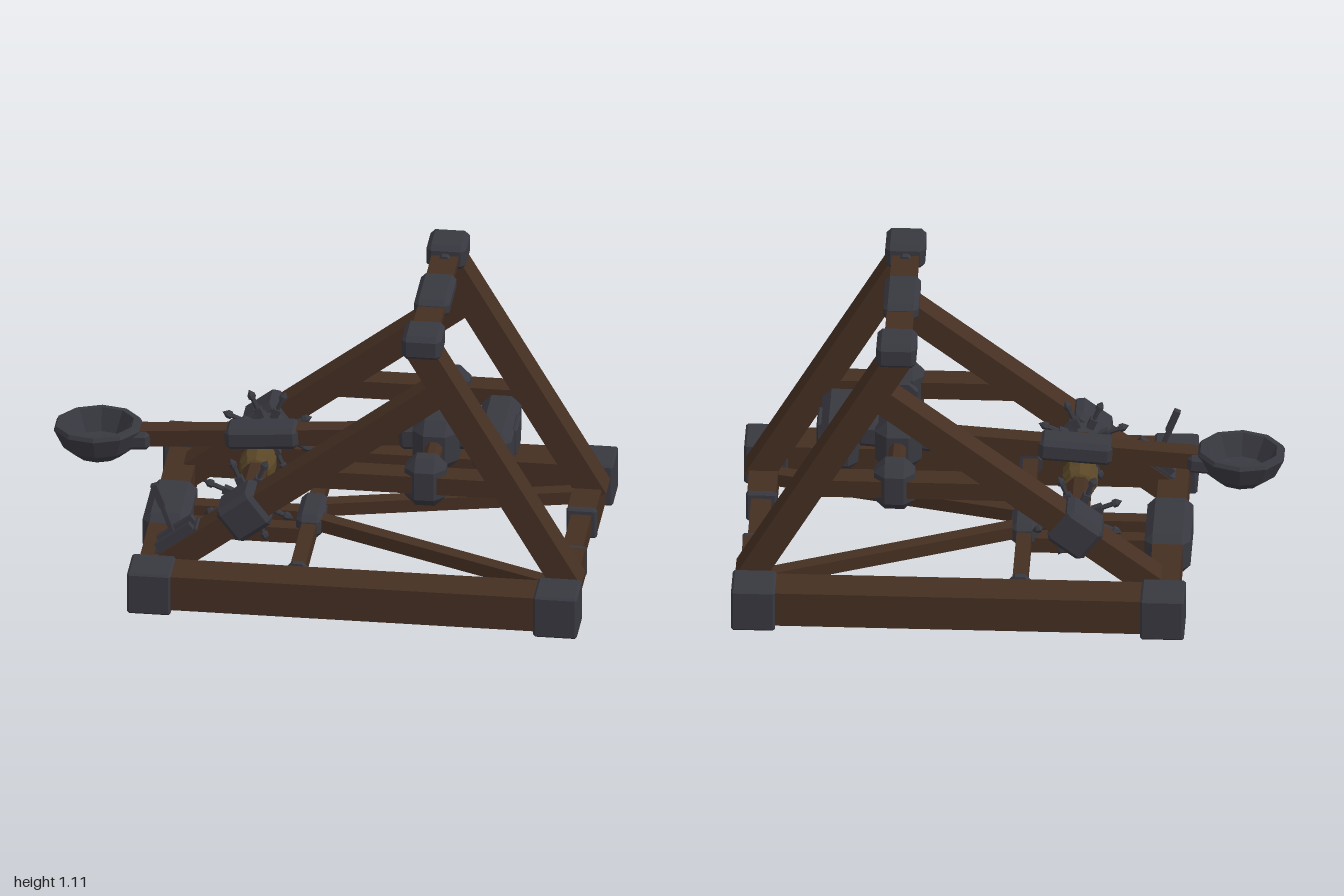
import * as THREE from 'three';
import { ConvexGeometry } from 'three/addons/geometries/ConvexGeometry.js';

const mat = (name, color) => {
  const m = new THREE.MeshStandardMaterial({ color, flatShading: true });
  m.name = name;
  return m;
};

export function createModel() {
  const root = new THREE.Group();
  root.name = 'catapult';
  const wood = mat('dark wood', 0x452f22);
  const iron = mat('dark iron', 0x383840);
  const rope = mat('rope', 0x5a4727);

  const add = (name, geo, material, x = 0, y = 0, z = 0, parent = root) => {
    const m = new THREE.Mesh(geo, material);
    m.name = name;
    m.position.set(x, y, z);
    parent.add(m);
    return m;
  };
  const box = (name, w, h, d, m, x, y, z, parent) =>
    add(name, new THREE.BoxGeometry(w, h, d), m, x, y, z, parent);

  // Box with all edges cut off by c
  const chamferGeo = (w, h, d, c) => {
    const pts = [];
    for (const sx of [-1, 1]) for (const sy of [-1, 1]) for (const sz of [-1, 1]) {
      const X = sx * w / 2, Y = sy * h / 2, Z = sz * d / 2;
      pts.push(new THREE.Vector3(X, Y - sy * c, Z - sz * c),
        new THREE.Vector3(X - sx * c, Y, Z - sz * c),
        new THREE.Vector3(X - sx * c, Y - sy * c, Z));
    }
    return new ConvexGeometry(pts);
  };
  const block = (name, w, h, d, c, x, y, z, parent) =>
    add(name, chamferGeo(w, h, d, c), iron, x, y, z, parent);

  // Straight timber between two points; h is its height, d its depth
  const beam = (name, a, b, h, d, m = wood) => {
    const A = new THREE.Vector3(...a), B = new THREE.Vector3(...b);
    const X = B.clone().sub(A), len = X.length();
    X.normalize();
    const Y = new THREE.Vector3(0, 0, 1).cross(X).normalize();
    const Z = X.clone().cross(Y);
    const mesh = box(name, len, h, d, m);
    mesh.quaternion.setFromRotationMatrix(new THREE.Matrix4().makeBasis(X, Y, Z));
    mesh.position.copy(A).add(B).multiplyScalar(0.5);
    return mesh;
  };
  // Round or faceted bar along z
  const rod = (name, r0, r1, len, sides, m, x, y, z, parent) => {
    const g = new THREE.CylinderGeometry(r1, r0, len, sides);
    g.rotateY(Math.PI / sides).rotateX(Math.PI / 2);
    return add(name, g, m, x, y, z, parent);
  };

  const braceAngle = Math.atan2(0.77, 1.01);

  for (const s of [-1, 1]) {
    // Base rails and corner caps
    box('baseRail', 1.6, 0.135, 0.145, wood, 0.17, 0.0875, s * 0.527);
    for (const x of [-0.575, 0.915])
      block('cornerCap', 0.16, 0.165, 0.165, 0.008, x, 0.0825, s * 0.5275);

    // Leaning posts, braces and side rails
    beam('post', [0.945, 0.1, s * 0.365], [0.39, 1.05, s * 0.365], 0.1, 0.12);
    block('postCap', 0.145, 0.095, 0.155, 0.018, 0.402, 1.0625, s * 0.362);
    beam('brace', [-0.56, 0.085, s * 0.36], [0.465, 0.868, s * 0.36], 0.095, 0.105);
    box('sideRail', 0.76, 0.068, 0.09, wood, 0.34, 0.488, s * 0.36);
    block('axleBearing', 0.15, 0.19, 0.13, 0.04, 0.41, 0.488, s * 0.35);
    rod('axleCollar', 0.06, 0.06, 0.03, 8, iron, 0.41, 0.488, s * 0.275);
    rod('topCollar', 0.025, 0.025, 0.03, 8, iron, 0.4, 1.06, s * 0.275);

    // Front cross beam halves
    box('frontCrossBeam', 0.105, 0.115, 0.31, wood, 0.918, 0.083, s * 0.305);
    block('frontBeamRing', 0.112, 0.118, 0.028, 0.008, 0.918, 0.083, s * 0.152);

    // Floor timbers
    box('floorBar', 0.46, 0.06, 0.06, wood, -0.28, 0.09, s * 0.068);
    beam('floorStrut', [-0.03, 0.135, s * 0.055], [0.9, 0.085, s * 0.37], 0.05, 0.055);
    rod('crossRodCollar', 0.045, 0.045, 0.025, 8, iron, -0.05, 0.12, s * 0.44);

    // Winch bearings on the braces
    const bearing = block('winchBearing', 0.165, 0.155, 0.145, 0.02, -0.25, 0.32, s * 0.357);
    bearing.rotation.z = braceAngle;

    // Spoked hand wheels
    const wheel = new THREE.Group();
    wheel.name = 'winchWheel';
    wheel.position.set(-0.25, 0.32, s * 0.272);
    root.add(wheel);
    rod('wheelHub', s > 0 ? 0.045 : 0.08, s > 0 ? 0.08 : 0.045, 0.06, 8, iron, 0, 0, -s * 0.008, wheel);
    for (let i = 0; i < 8; i++) {
      const spoke = new THREE.Group();
      spoke.name = 'spoke';
      spoke.rotation.z = (i + 0.5) * Math.PI / 4;
      wheel.add(spoke);
      add('spokeShaft', new THREE.CylinderGeometry(0.009, 0.009, 0.1, 6), iron, 0, 0.1, 0, spoke);
      box('spokeSocket', 0.028, 0.04, 0.028, iron, 0, 0.08, 0, spoke);
      const tip = [[0, 0.134], [0.015, 0.143], [0.015, 0.158], [0, 0.178]];
      add('spokeTip', new THREE.LatheGeometry(tip.map(p => new THREE.Vector2(...p)), 6), iron, 0, 0, 0, spoke);
    }
  }

  // Rear cross beam with its central plate
  box('rearCrossBeam', 0.11, 0.115, 0.92, wood, -0.575, 0.085, 0);
  block('rearBeamPlate', 0.168, 0.16, 0.32, 0.03, -0.573, 0.09, 0);
  box('frontBeamMiddle', 0.075, 0.072, 0.31, wood, 0.918, 0.085, 0);

  // Middle cross rod and joint
  box('crossRod', 0.055, 0.055, 0.89, wood, -0.05, 0.12, 0);
  block('floorJoint', 0.1, 0.09, 0.215, 0.022, -0.05, 0.13, 0);

  // Top bar with sleeve
  box('topBar', 0.1, 0.028, 0.58, wood, 0.4, 1.06, 0);
  block('topSleeve', 0.13, 0.066, 0.24, 0.018, 0.4, 1.0625, 0);

  // Arm axle
  rod('armAxle', 0.034, 0.034, 0.56, 8, wood, 0.41, 0.488, 0);
  block('armHub', 0.17, 0.2, 0.24, 0.045, 0.41, 0.485, 0);

  // Winch drum with rope wrapping
  rod('winchDrum', 0.048, 0.048, 0.5, 8, wood, -0.25, 0.325, 0);
  const wrap = [[0.046, -0.075], [0.056, -0.07], [0.056, -0.045], [0.067, -0.028],
    [0.067, 0.028], [0.056, 0.045], [0.056, 0.07], [0.046, 0.075]];
  const wrapGeo = new THREE.LatheGeometry(wrap.map(p => new THREE.Vector2(...p)), 10);
  wrapGeo.rotateX(Math.PI / 2);
  add('ropeWrap', wrapGeo, rope, -0.25, 0.325, 0);

  // Throwing arm, tilted as one
  const arm = new THREE.Group();
  arm.name = 'throwingArm';
  arm.position.set(0.41, 0.495, 0);
  arm.rotation.z = 0.07;
  root.add(arm);
  box('armShaft', 1.28, 0.064, 0.07, wood, -0.48, 0, 0, arm);
  block('armSleeve', 0.27, 0.085, 0.11, 0.018, -0.645, 0, 0, arm);
  block('armSocket', 0.3, 0.1, 0.1, 0.02, 0.005, 0, 0, arm);
  block('bucketSocket', 0.09, 0.07, 0.115, 0.015, -1.1, -0.005, 0, arm);

  // Counterweight
  block('counterweight', 0.145, 0.168, 0.365, 0.035, 0.625, 0.503, 0);
  block('counterweightPlate', 0.02, 0.105, 0.125, 0.006, 0.698, 0.508, 0);

  // Bucket: hollow faceted bowl
  const bowl = [[0, -0.07], [0.075, -0.07], [0.12, -0.03], [0.15, 0.045], [0.142, 0.06],
    [0.122, 0.06], [0.085, -0.02], [0, -0.035]];
  const bowlGeo = new THREE.LatheGeometry(bowl.map(p => new THREE.Vector2(...p)), 10);
  bowlGeo.scale(1.1, 1, 0.95);
  const bucket = add('bucket', bowlGeo, iron, -0.835, 0.4, 0);
  bucket.rotation.z = 0.04;

  // Release lever and its slotted bracket on one brace
  const bracket = new THREE.Group();
  bracket.name = 'leverBracket';
  bracket.position.set(-0.5, 0.185, 0.357);
  bracket.rotation.z = braceAngle;
  root.add(bracket);
  box('bracketBase', 0.2, 0.02, 0.09, iron, 0, 0.005, 0, bracket);
  for (const s of [-1, 1]) box('bracketCheek', 0.16, 0.035, 0.025, iron, 0.01, 0.025, s * 0.03, bracket);
  const lever = beam('lever', [-0.5, 0.16, 0.357], [-0.575, 0.37, 0.357], 0.016, 0.016, iron);
  const grip = beam('leverGrip', [-0.555, 0.32, 0.357], [-0.588, 0.405, 0.357], 0.024, 0.024, iron);
  lever.castShadow = grip.castShadow = true;

  return root;
}
